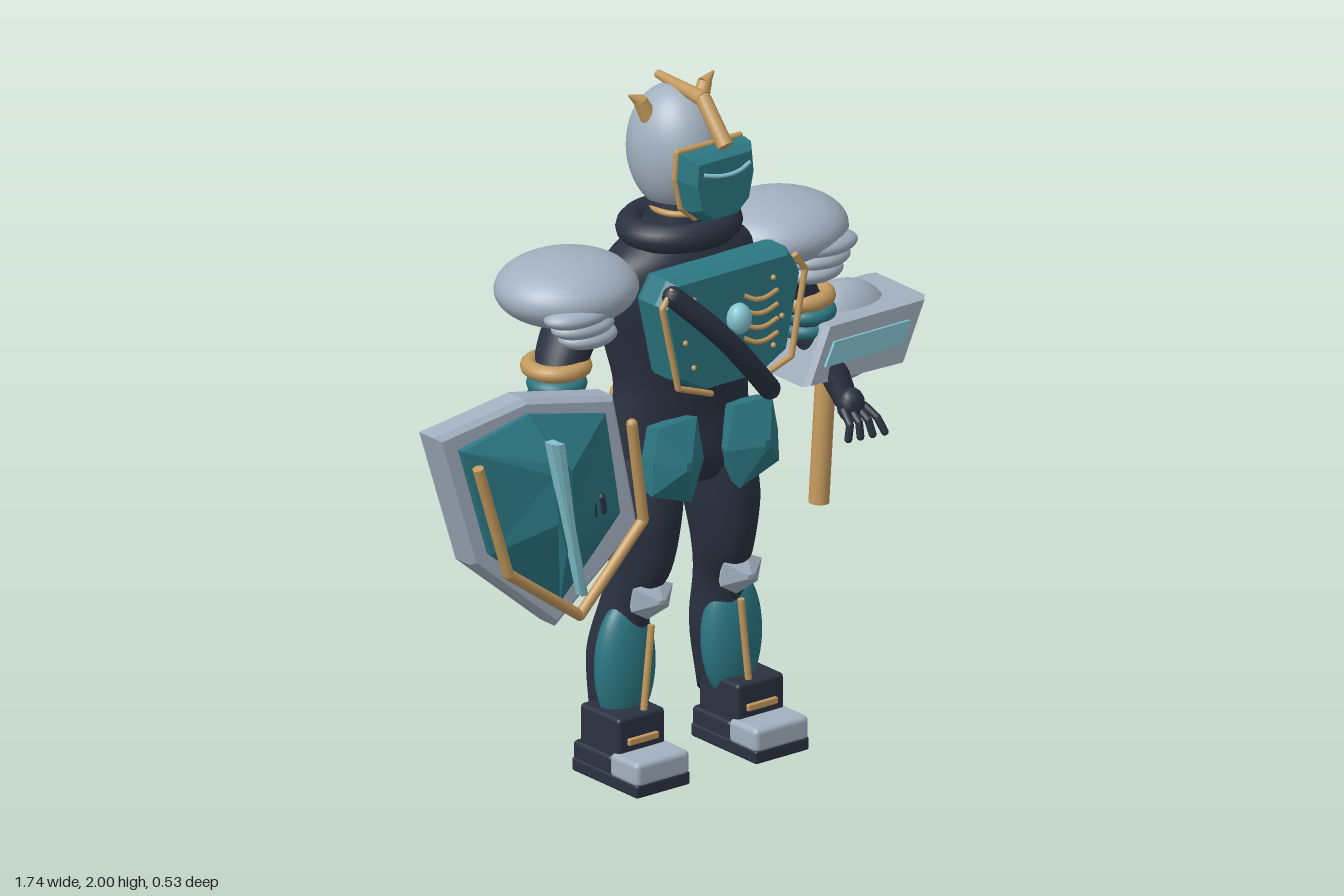
import * as THREE from 'three';
import { RoundedBoxGeometry } from 'three/addons/geometries/RoundedBoxGeometry.js';

const V = (p) => new THREE.Vector3(...p);
const mat = (name, color) => Object.assign(new THREE.MeshStandardMaterial({ color }), { name });

// Smooth body form from stacked ellipses [x, y, z, rx, rz], listed upwards
function loft(sections, steps = 32, sides = 32) {
  const mid = new THREE.CatmullRomCurve3(sections.map((s) => V(s.slice(0, 3))));
  const rad = new THREE.CatmullRomCurve3(sections.map((s) => V([s[3], s[4], 0])));
  const pos = [], idx = [];
  for (let i = 0; i <= steps; i++) {
    const c = mid.getPoint(i / steps), r = rad.getPoint(i / steps);
    for (let j = 0; j < sides; j++) {
      const a = (j / sides) * Math.PI * 2;
      pos.push(c.x + Math.cos(a) * r.x, c.y, c.z + Math.sin(a) * r.y);
      if (i === steps) continue;
      const p = i * sides + j, q = i * sides + (j + 1) % sides;
      idx.push(p, p + sides, q, q, p + sides, q + sides);
    }
  }
  const top = steps * sides;
  for (let j = 1; j < sides - 1; j++) idx.push(0, j, j + 1, top, top + j + 1, top + j);
  const g = new THREE.BufferGeometry();
  g.setAttribute('position', new THREE.Float32BufferAttribute(pos, 3));
  g.setIndex(idx);
  g.computeVertexNormals();
  return g;
}

// Faceted plate: counter-clockwise outline repeated in layers [z, scaleX, scaleY], with z leaning along x
function plate(outline, layers, lean = 0) {
  const n = outline.length;
  const cx = outline.reduce((s, p) => s + p[0], 0) / n, cy = outline.reduce((s, p) => s + p[1], 0) / n;
  const rings = layers.map(([z, sx, sy = sx]) => outline.map(([x, y]) => {
    const px = cx + (x - cx) * sx;
    return [px, cy + (y - cy) * sy, z + (px - cx) * lean];
  }));
  const pos = [];
  const tri = (...ps) => ps.forEach((p) => pos.push(...p));
  for (let i = 0; i < rings.length - 1; i++) for (let j = 0; j < n; j++) {
    const k = (j + 1) % n, a = rings[i], b = rings[i + 1];
    tri(a[j], a[k], b[j]);
    tri(a[k], b[k], b[j]);
  }
  const back = rings[0], front = rings[rings.length - 1];
  for (let j = 1; j < n - 1; j++) {
    tri(back[0], back[j + 1], back[j]);
    tri(front[0], front[j], front[j + 1]);
  }
  const g = new THREE.BufferGeometry();
  g.setAttribute('position', new THREE.Float32BufferAttribute(pos, 3));
  g.computeVertexNormals();
  return g;
}

// Capped rod between two points
function rod(a, b, r0, r1 = r0) {
  const p = V(a), d = V(b).sub(p);
  const g = new THREE.CylinderGeometry(r1, r0, d.length(), 16);
  g.applyQuaternion(new THREE.Quaternion().setFromUnitVectors(V([0, 1, 0]), d.clone().normalize()));
  return g.translate(...p.addScaledVector(d, 0.5).toArray());
}

export function createModel() {
  const navy = mat('navy', 0x2a3140), steel = mat('steel', 0xa2b0bf), teal = mat('teal', 0x2c7783);
  const gold = mat('gold', 0xc39a5e), cyan = mat('cyan', 0x82c2cf);
  const model = new THREE.Group();
  const body = new THREE.Group();
  body.name = 'body';
  body.position.x = 0.085;
  model.add(body);

  const add = (parent, name, g, m, at = [0, 0, 0]) => {
    const mesh = new THREE.Mesh(g, m);
    mesh.name = name;
    mesh.position.set(...at);
    parent.add(mesh);
  };
  // Small ellipsoids get fewer segments
  const egg = (parent, name, at, size, m) => {
    const n = Math.max(...size) > 0.06 ? 36 : 12;
    add(parent, name, new THREE.SphereGeometry(1, n, n * 2 / 3).scale(...size), m, at);
  };
  const ring = (parent, name, at, r, t, m, sz = 1) =>
    add(parent, name, new THREE.TorusGeometry(r, t, 12, 40).rotateX(Math.PI / 2).scale(1, 1, sz), m, at);
  const box = (parent, name, at, size, r, m) => add(parent, name, new RoundedBoxGeometry(...size, 2, r), m, at);
  const tube = (parent, name, pts, r, m) =>
    add(parent, name, new THREE.TubeGeometry(new THREE.CatmullRomCurve3(pts.map(V)), 20, r, 10), m);
  const rods = (parent, name, pts, r, m) => pts.slice(1).forEach((p, i) => {
    add(parent, name, rod(pts[i], p, r), m);
    egg(parent, name + 'Joint', p, [r, r, r], m);
  });

  // Torso, neck and belt
  add(body, 'torso', loft([
    [0, 0.84, -0.05, 0.18, 0.11], [0, 0.93, -0.05, 0.228, 0.143], [0, 1.04, -0.04, 0.222, 0.125],
    [0, 1.13, -0.035, 0.215, 0.125], [0, 1.25, -0.045, 0.235, 0.145], [0, 1.4, -0.045, 0.265, 0.15],
    [0, 1.5, -0.045, 0.24, 0.135], [0, 1.56, -0.045, 0.15, 0.11], [0, 1.6, -0.045, 0.09, 0.09]]), navy);
  add(body, 'neck', new THREE.CylinderGeometry(0.08, 0.1, 0.14, 28), navy, [0, 1.6, -0.045]);
  ring(body, 'collar', [0, 1.575, -0.04], 0.145, 0.042, navy, 0.85);
  ring(body, 'neckChain', [0, 1.632, -0.03], 0.082, 0.009, gold);
  ring(body, 'belt', [0, 1.085, -0.06], 0.185, 0.022, gold, 0.64);

  // Helmet, mask and crest
  egg(body, 'helmet', [0, 1.795, -0.057], [0.13, 0.185, 0.147], steel);
  const maskLine = [[-0.12, 1.77], [-0.1, 1.68], [-0.05, 1.638], [0.05, 1.638], [0.1, 1.68], [0.12, 1.77], [0.113, 1.845], [-0.113, 1.845]];
  add(body, 'mask', plate(maskLine, [[0.09, 0.96], [0.11, 1], [0.14, 0.97], [0.165, 0.82]]), teal);
  rods(body, 'maskRim', [...maskLine, maskLine[0]].map(([x, y]) => [x * 0.98, y, 0.088]), 0.009, gold);
  egg(body, 'face', [0, 1.71, 0.04], [0.075, 0.07, 0.06], gold);
  tube(body, 'visorSlit', [[-0.082, 1.795, 0.168], [-0.04, 1.787, 0.182], [0, 1.785, 0.187], [0.04, 1.787, 0.182], [0.082, 1.795, 0.168]], 0.006, cyan);
  rods(body, 'crest', [[0, 1.86, 0.165], [0, 1.967, 0.07]], 0.023, gold);
  add(body, 'crestTail', rod([0, 1.97, 0.07], [0, 1.985, -0.135], 0.023, 0.012), gold);

  // Chest armour
  const chest = [[-0.25, 1.45], [-0.2, 1.22], [-0.1, 1.165], [0.1, 1.165], [0.2, 1.22], [0.25, 1.45], [0.21, 1.515], [-0.21, 1.515]];
  add(body, 'breastplate', plate(chest, [[0.08, 0.97], [0.1, 1], [0.165, 1], [0.198, 0.93]]), teal);
  tube(body, 'chestStrap', [[-0.21, 1.475, 0.195], [-0.12, 1.39, 0.22], [-0.03, 1.3, 0.225], [0.06, 1.2, 0.215], [0.135, 1.12, 0.19]], 0.031, navy);
  for (const e of [[-0.21, 1.475, 0.195], [0.135, 1.12, 0.19]]) egg(body, 'strapEnd', e, [0.031, 0.031, 0.031], navy);
  egg(body, 'chestGem', [0, 1.37, 0.225], [0.037, 0.045, 0.035], cyan);
  for (let i = 0; i < 4; i++) {
    const y = 1.425 - i * 0.042;
    tube(body, 'chestRib', [[0.03, y, 0.205], [0.065, y - 0.017, 0.215], [0.1, y - 0.02, 0.215], [0.15, y - 0.012, 0.205]], 0.007, gold);
  }

  for (const s of [-1, 1]) {
    const P = (x, y, z) => [s * x, y, z];
    // Horns and chest trim
    add(body, 'horn', rod(P(0.085, 1.89, -0.06), P(0.115, 1.955, -0.07), 0.026, 0.02), gold);
    add(body, 'hornTip', rod(P(0.113, 1.95, -0.07), P(0.15, 1.975, -0.075), 0.02, 0.003), gold);
    rods(body, 'chestTrim', [P(0.215, 1.5, 0.2), P(0.252, 1.45, 0.2), P(0.2, 1.205, 0.205), P(0.08, 1.16, 0.2)], 0.009, gold);
    for (const [x, y] of [[0.14, 1.45], [0.17, 1.33], [0.14, 1.25]]) egg(body, 'stud', P(x, y, 0.2), [0.008, 0.008, 0.008], gold);

    // Shoulder armour
    egg(body, 'pauldron', P(0.37, 1.463, -0.075), [0.207, 0.1, 0.192], steel);
    for (let i = 0; i < 3; i++)
      egg(body, 'shoulderLame', P(0.435 - i * 0.018, 1.435 - i * 0.034, 0.055), [0.108 - i * 0.008, 0.034, 0.065], steel);

    // Arm, cuffs and hand
    add(body, 'arm', loft([
      [s * 0.482, 0.96, 0.1, 0.034, 0.034], [s * 0.47, 1.04, 0.055, 0.045, 0.045], [s * 0.45, 1.13, 0, 0.062, 0.062],
      [s * 0.415, 1.25, -0.045, 0.073, 0.075], [s * 0.35, 1.36, -0.06, 0.085, 0.09], [s * 0.26, 1.47, -0.06, 0.09, 0.09]]), navy);
    ring(body, 'armBand', P(0.43, 1.255, -0.045), 0.076, 0.024, gold);
    for (const y of [1.212, 1.17]) ring(body, 'cuff', P(0.44, y, -0.03), 0.062, 0.023, teal);
    egg(body, 'palm', P(0.482, 0.965, 0.115), [0.042, 0.05, 0.035], navy);
    for (let i = 0; i < 4; i++) {
      const x = 0.447 + i * 0.024;
      rods(body, 'finger', [P(x, 0.96, 0.125), P(x + 0.008 * (i - 1), 0.93, 0.165), P(x + 0.014 * (i - 1), 0.89, 0.165 + 0.006 * i)], 0.011, navy);
    }

    // Hip guard: faceted with a raised centre
    const hip = [[0.2, 1.06], [0.065, 1.065], [0.04, 0.935], [0.085, 0.815], [0.225, 0.865], [0.22, 0.96]].map(([x, y]) => [s * x, y]);
    if (s < 0) hip.reverse();
    add(body, 'hipGuard', plate(hip, [[0.06, 0.9], [0.12, 1], [0.18, 0.12]]), teal);

    // Leg
    add(body, 'leg', loft([
      [s * 0.19, 0.14, -0.11, 0.055, 0.055], [s * 0.18, 0.35, -0.09, 0.08, 0.087], [s * 0.165, 0.48, -0.07, 0.07, 0.078],
      [s * 0.145, 0.6, -0.03, 0.078, 0.1], [s * 0.138, 0.75, -0.03, 0.102, 0.122], [s * 0.125, 0.87, -0.045, 0.108, 0.13],
      [s * 0.115, 0.97, -0.05, 0.1, 0.12]]), navy);
    egg(body, 'shinGuard', P(0.188, 0.315, -0.045), [0.098, 0.19, 0.06], teal);
    add(body, 'shinTrim', rod(P(0.185, 0.2, 0.035), P(0.158, 0.445, 0.035), 0.01), gold);
    const knee = [[0.075, 0.03], [0.02, 0.055], [-0.06, 0.045], [-0.072, -0.02], [-0.015, -0.055], [0.06, -0.035]];
    add(body, 'kneeGuard', plate(knee, [[0.01, 0.8], [0.035, 1], [0.08, 0.15]]), steel, P(0.157, 0.52, 0));

    // Boot
    box(body, 'bootAnkle', P(0.21, 0.14, -0.028), [0.165, 0.125, 0.175], 0.012, navy);
    box(body, 'bootSole', P(0.21, 0.02, 0.01), [0.19, 0.04, 0.29], 0.008, navy);
    box(body, 'bootHeel', P(0.21, 0.055, -0.05), [0.182, 0.07, 0.17], 0.012, navy);
    box(body, 'bootToe', P(0.21, 0.066, 0.093), [0.19, 0.072, 0.125], 0.016, steel);
    box(body, 'bootStrap', P(0.21, 0.131, 0.062), [0.105, 0.02, 0.016], 0.004, gold);
  }

  // Shield on the right arm
  const shield = new THREE.Group();
  shield.name = 'shield';
  model.add(shield);
  const rim = [[-0.87, 1.2], [-0.75, 0.8], [-0.47, 0.56], [-0.2, 0.8], [-0.28, 1.2], [-0.575, 1.255]];
  add(shield, 'shieldBack', plate(rim, [[0.025, 0.97], [0.038, 1], [0.1, 1], [0.115, 0.95]], 0.09), steel);
  const field = [[-0.8, 1.155], [-0.705, 0.83], [-0.47, 0.635], [-0.265, 0.855], [-0.315, 1.16], [-0.575, 1.215]];
  add(shield, 'shieldField', plate(field, [[0.1, 1], [0.125, 1], [0.215, 0.12, 0.45]], 0.05), teal);
  add(shield, 'shieldRidge', plate([[-0.59, 1.165], [-0.48, 0.69], [-0.46, 0.69], [-0.56, 1.165]], [[0.21, 1], [0.24, 1], [0.248, 0.7, 0.98]]), cyan);
  rods(shield, 'shieldTrim', [[-0.845, 1.155, 0.235], [-0.735, 0.815, 0.23], [-0.47, 0.625, 0.215], [-0.25, 0.855, 0.22], [-0.302, 1.155, 0.235]], 0.016, gold);

  // Forearm device on the left arm
  const device = new THREE.Group();
  device.name = 'forearmDevice';
  model.add(device);
  const shell = [[0.44, 1.03], [0.79, 1.02], [0.872, 1.2], [0.515, 1.2]];
  add(device, 'deviceShell', plate(shell, [[-0.175, 0.93], [-0.155, 1], [0.06, 1], [0.078, 0.93]]), steel);
  egg(device, 'deviceDome', [0.67, 1.113, -0.053], [0.155, 0.145, 0.103], steel);
  add(device, 'devicePanel', plate([[0.5, 1.083], [0.773, 1.083], [0.8, 1.15], [0.533, 1.15]], [[0.08, 1], [0.088, 1]]), cyan);
  add(device, 'handle', rod([0.582, 0.625, -0.045], [0.61, 1.05, -0.045], 0.029), gold);
  return model;
}
